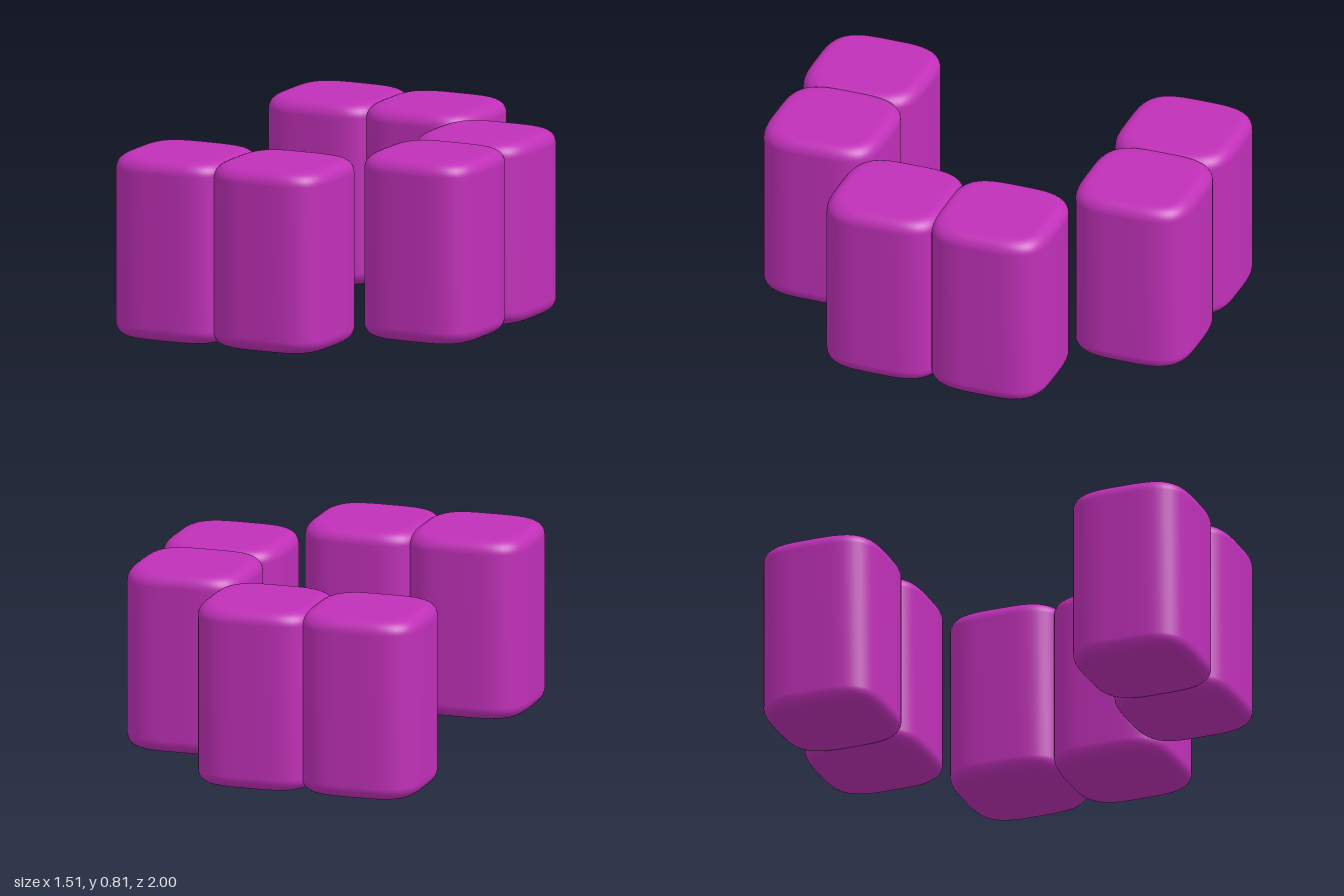
import * as THREE from 'three';
import { mergeVertices } from 'three/addons/utils/BufferGeometryUtils.js';

const HALF = 0.27;    // half width of one cushion seat
const HEIGHT = 0.81;
const ROUND = 0.06;   // rounding of the top and bottom rims
const POWER = 3.7;    // squareness of the plan outline

// Lathe a rounded profile, then push its circle out to a soft square
function cushionGeometry() {
  const pts = [new THREE.Vector2(0, 0), new THREE.Vector2(HALF - ROUND - 0.02, 0)];
  const steps = 8;
  for (const [cy, start] of [[ROUND, -Math.PI / 2], [HEIGHT - ROUND, 0]]) {
    for (let i = 0; i <= steps; i++) {
      const a = start + (i / steps) * Math.PI / 2;
      pts.push(new THREE.Vector2(HALF - ROUND + ROUND * Math.cos(a), cy + ROUND * Math.sin(a)));
    }
  }
  pts.push(new THREE.Vector2(HALF - ROUND - 0.02, HEIGHT), new THREE.Vector2(0, HEIGHT));

  let geo = new THREE.LatheGeometry(pts, 80);
  const pos = geo.attributes.position;
  for (let i = 0; i < pos.count; i++) {
    const x = pos.getX(i), z = pos.getZ(i), r = Math.hypot(x, z);
    if (r < 1e-6) continue;
    const k = (Math.abs(x / r) ** POWER + Math.abs(z / r) ** POWER) ** (-1 / POWER);
    pos.setX(i, x * k);
    pos.setZ(i, z * k);
  }
  // Weld the seam so the shading runs smoothly all round
  geo.deleteAttribute('uv');
  geo.deleteAttribute('normal');
  geo = mergeVertices(geo, 1e-5);
  geo.computeVertexNormals();
  return geo;
}

export function createModel() {
  const model = new THREE.Group();
  model.name = 'seatingGroup';
  const geometry = cushionGeometry();
  const material = new THREE.MeshStandardMaterial({ color: 0xc030b8 });

  // Three pairs of seats arranged as an open U
  const pairs = {
    frontPair: [[-0.485, 0.73], [-0.005, 0.73]],
    backPair: [[-0.485, -0.73], [-0.005, -0.73]],
    leftPair: [[0.485, 0.245], [0.485, -0.245]],
  };
  for (const [name, spots] of Object.entries(pairs)) {
    const pair = new THREE.Group();
    pair.name = name;
    spots.forEach(([x, z], i) => {
      const seat = new THREE.Mesh(geometry, material);
      seat.name = `cushionSeat${i + 1}`;
      seat.position.set(x, 0, z);
      pair.add(seat);
    });
    model.add(pair);
  }
  return model;
}
